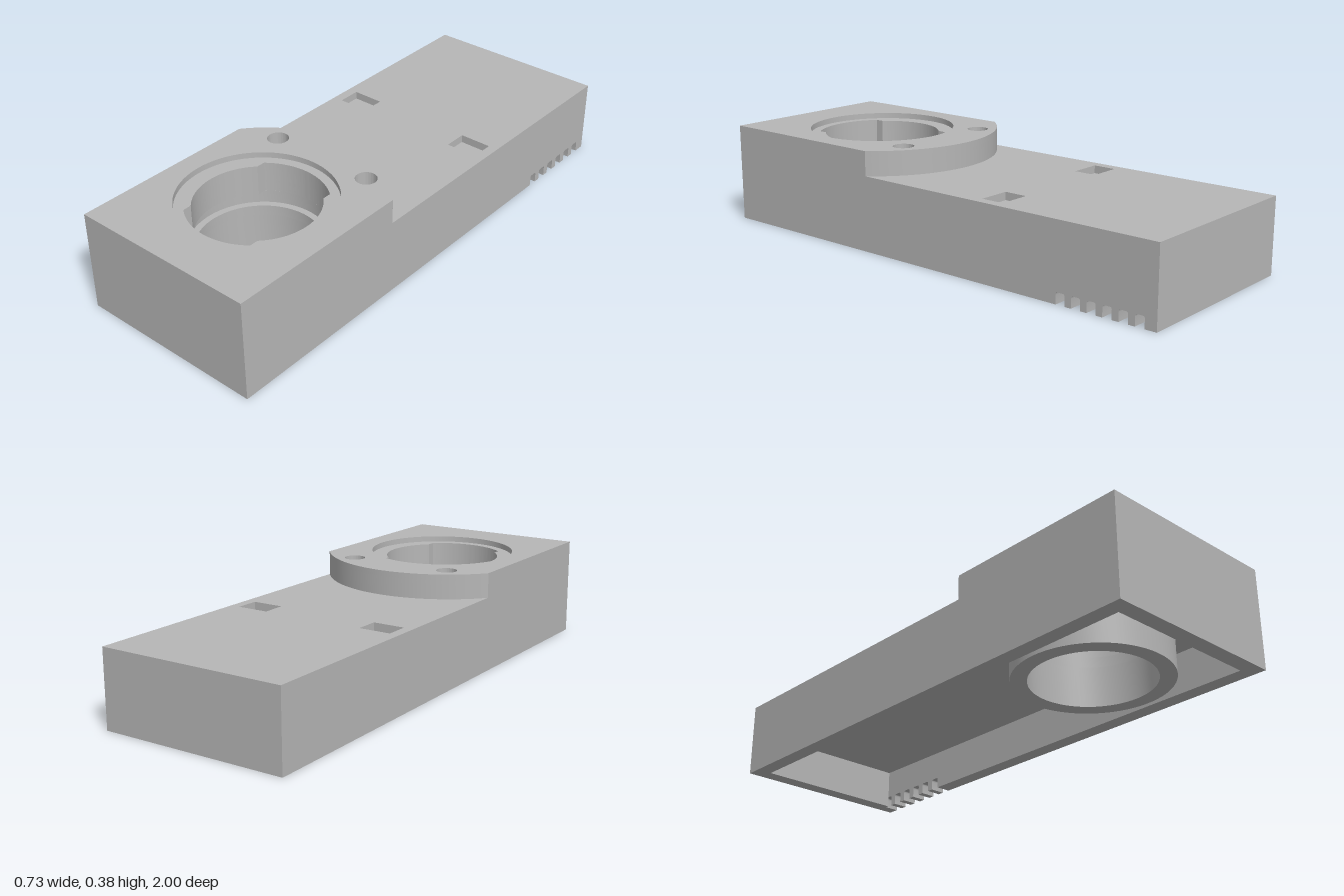
import * as THREE from 'three';
import { toCreasedNormals } from 'three/addons/utils/BufferGeometryUtils.js';

const W = 0.365, L = 1, WALL = 0.06;   // half width, half length, wall thickness
const CEIL = 0.155;                    // underside of the top slab
const CZ = 0.555;                      // z of the socket axis
const BORE = 0.225, LOCK = 0.25, RECESS = 0.285;

// Outlines are drawn as (x, z)
function circle(x, z, r) {
  return new THREE.Path().absarc(x, z, r, 0, Math.PI * 2, false);
}

function rect(x0, z0, x1, z1, Type = THREE.Path) {
  const p = new Type();
  p.moveTo(x0, z0).lineTo(x1, z0).lineTo(x1, z1).lineTo(x0, z1).closePath();
  return p;
}

// Bore with a wider notch at the front and the back
function notchedBore() {
  const half = 0.157, a = Math.acos(half / BORE), b = Math.acos(half / LOCK), PI = Math.PI;
  const p = new THREE.Path();
  p.absarc(0, CZ, BORE, -a, a, false);
  p.absarc(0, CZ, LOCK, b, PI - b, false);
  p.absarc(0, CZ, BORE, PI - a, PI + a, false);
  p.absarc(0, CZ, LOCK, PI + b, 2 * PI - b, false);
  p.closePath();
  return p;
}

// Raised front platform with an arc-shaped rear edge
function platform() {
  const R = 0.46, t = Math.acos(W / R);
  const s = new THREE.Shape();
  s.moveTo(-W, L).lineTo(W, L);
  s.absarc(0, CZ, R, -t, t - Math.PI, true);
  s.closePath();
  return s;
}

export function createModel() {
  const model = new THREE.Group();
  model.name = 'housing';
  const grey = new THREE.MeshStandardMaterial({ color: 0xb6b6b6 });
  grey.name = 'grey';

  const add = (name, geometry) => {
    const mesh = new THREE.Mesh(toCreasedNormals(geometry, 0.5), grey);
    mesh.name = name;
    model.add(mesh);
  };

  // Horizontal layer between two heights
  const layer = (name, y0, y1, shape, holes = []) => {
    shape.holes.push(...holes);
    const g = new THREE.ExtrudeGeometry(shape, { depth: y1 - y0, bevelEnabled: false, curveSegments: 40 });
    g.rotateX(Math.PI / 2).translate(0, y1, 0);
    add(name, g);
  };
  const base = () => rect(-W, -L, W, L, THREE.Shape);
  const pockets = () => [-1, 1].map(s => rect(s * 0.265 - 0.062, -0.35, s * 0.265 + 0.062, -0.26));
  const screws = () => [-1, 1].map(s => circle(s * 0.21, 0.23, 0.04));

  // Front, right and back walls in one U
  const u = new THREE.Shape();
  u.moveTo(W - WALL, -L).lineTo(-W, -L).lineTo(-W, L).lineTo(W - WALL, L)
    .lineTo(W - WALL, L - WALL).lineTo(-W + WALL, L - WALL)
    .lineTo(-W + WALL, -L + WALL).lineTo(W - WALL, -L + WALL).closePath();
  layer('outerWalls', 0, CEIL, u);

  // Left wall, drawn as (-z, y), with a row of vent slots along its foot
  const side = new THREE.Shape();
  const sw = 0.018, sh = 0.043, sr = 0.008;
  side.moveTo(-L, CEIL).lineTo(-L, 0);
  for (let i = 0; i < 6; i++) {
    const c = 0.627 + i * 0.062;
    side.lineTo(c - sw, 0).lineTo(c - sw, sh - sr);
    side.quadraticCurveTo(c - sw, sh, c - sw + sr, sh);
    side.lineTo(c + sw - sr, sh);
    side.quadraticCurveTo(c + sw, sh, c + sw, sh - sr);
    side.lineTo(c + sw, 0);
  }
  side.lineTo(L, 0).lineTo(L, CEIL).closePath();
  const sideGeo = new THREE.ExtrudeGeometry(side, { depth: WALL, bevelEnabled: false, curveSegments: 4 });
  sideGeo.rotateY(Math.PI / 2).translate(W - WALL, 0, 0);
  add('ventedWall', sideGeo);

  // Socket tube hanging inside the shell
  const tube = new THREE.Shape().absarc(0, CZ, RECESS, 0, Math.PI * 2, false);
  layer('socketTube', 0, CEIL, tube, [circle(0, CZ, BORE)]);

  // Top slab: lower lip, locking groove, notched flange, blind pockets
  layer('socketLip', CEIL, 0.195, base(), [circle(0, CZ, BORE)]);
  layer('lockingGroove', 0.195, 0.245, base(), [circle(0, CZ, LOCK)]);
  layer('notchedFlange', 0.245, 0.26, base(), [notchedBore()]);
  layer('topSlab', 0.26, 0.29, base(), [notchedBore(), ...pockets()]);

  // Raised platform with blind screw holes and a shallow round recess
  layer('platform', 0.29, 0.363, platform(), [notchedBore(), ...screws()]);
  layer('platformRim', 0.363, 0.385, platform(), [circle(0, CZ, RECESS), ...screws()]);

  return model;
}
